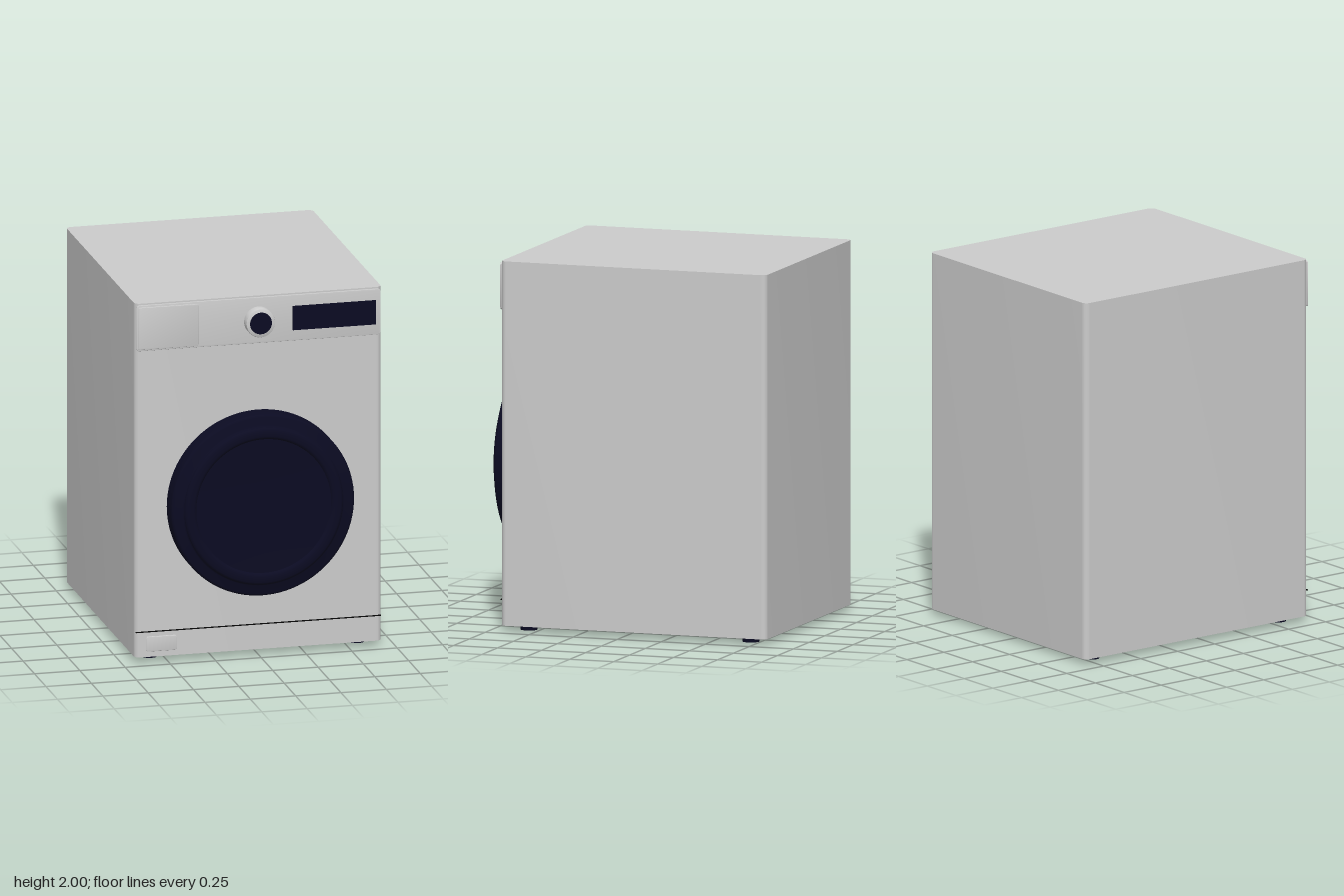
import * as THREE from 'three';
import { toCreasedNormals } from 'three/addons/utils/BufferGeometryUtils.js';

const casing = new THREE.MeshStandardMaterial({ name: 'light grey casing', color: 0xcccccc });
const navy = new THREE.MeshStandardMaterial({ name: 'dark navy', color: 0x0b0b22 });
const black = new THREE.MeshStandardMaterial({ name: 'black seam', color: 0x050505 });

// Rounded rectangle centred on the origin, extruded along z from 0 to depth
function roundedSlab(w, h, depth, r, bevel = 0) {
  const x = w / 2 - bevel, y = h / 2 - bevel;
  const s = new THREE.Shape();
  s.moveTo(-x + r, -y);
  s.lineTo(x - r, -y);
  s.absarc(x - r, -y + r, r, -Math.PI / 2, 0);
  s.lineTo(x, y - r);
  s.absarc(x - r, y - r, r, 0, Math.PI / 2);
  s.lineTo(-x + r, y);
  s.absarc(-x + r, y - r, r, Math.PI / 2, Math.PI);
  s.lineTo(-x, -y + r);
  s.absarc(-x + r, -y + r, r, Math.PI, Math.PI * 1.5);
  const geometry = new THREE.ExtrudeGeometry(s, {
    depth: depth - bevel, curveSegments: 8, bevelEnabled: bevel > 0,
    bevelSize: bevel, bevelThickness: bevel, bevelSegments: 3,
  });
  return toCreasedNormals(geometry, 0.6);
}

// Solid of revolution facing +z; profile is [radius, z] from back to front
function turned(profile, segments = 96) {
  const points = profile.map(([r, z]) => new THREE.Vector2(r, z));
  return toCreasedNormals(new THREE.LatheGeometry(points, segments).rotateX(Math.PI / 2), 0.7);
}

export function createModel() {
  const model = new THREE.Group();
  model.name = 'washingMachine';
  const FRONT = 0.687;

  function add(name, geometry, material, x, y, z) {
    const mesh = new THREE.Mesh(geometry, material);
    mesh.name = name;
    mesh.position.set(x, y, z);
    model.add(mesh);
    return mesh;
  }

  // Cabinet, with rounded upright edges
  add('cabinet', roundedSlab(1.36, 1.507, 1.97, 0.03).rotateX(-Math.PI / 2), casing, 0, 0.03, -0.0665);

  // Control panel with detergent drawer and display
  add('controlPanel', roundedSlab(1.345, 0.255, 0.006, 0.015, 0.002), casing, 0, 1.864, FRONT);
  add('detergentDrawer', roundedSlab(0.335, 0.235, 0.006, 0.012, 0.002), casing, -0.4975, 1.862, FRONT + 0.004);
  add('display', new THREE.BoxGeometry(0.457, 0.135, 0.006), navy, 0.4165, 1.862, FRONT + 0.007);

  // Programme knob with dark cap
  add('knob', turned([[0.08, 0], [0.08, 0.05], [0.078, 0.055], [0.074, 0.057], [0, 0.057]], 48),
    casing, 0, 1.86, FRONT);
  add('knobCap', turned([[0.06, 0], [0.06, 0.003], [0, 0.003]], 48), navy, 0, 1.86, FRONT + 0.057);

  // Porthole door: outer rim, raised inner ring and shallow glass bowl
  add('doorRim', turned([
    [0.505, 0], [0.505, 0.09], [0.501, 0.1], [0.49, 0.107], [0.445, 0.107], [0.437, 0.113],
    [0.437, 0.118], [0.433, 0.127], [0.422, 0.133], [0.39, 0.133], [0.379, 0.129], [0.372, 0.118],
  ]), navy, 0, 0.86, FRONT);
  add('doorGlass', turned([[0.373, 0.118], [0.25, 0.114], [0.12, 0.112], [0, 0.111]]), navy, 0, 0.86, FRONT);

  // Kick plate seam and filter hatch
  add('kickPlateSeam', new THREE.BoxGeometry(1.352, 0.006, 0.004), black, 0, 0.17, FRONT);
  add('filterHatch', roundedSlab(0.17, 0.083, 0.007, 0.01, 0.002), casing, -0.535, 0.102, FRONT);

  // Feet
  for (const x of [-0.57, 0.57]) {
    for (const z of [-0.695, 0.565]) {
      add('foot', new THREE.CylinderGeometry(0.045, 0.045, 0.035, 24), navy, x, 0.0175, z);
    }
  }
  return model;
}
